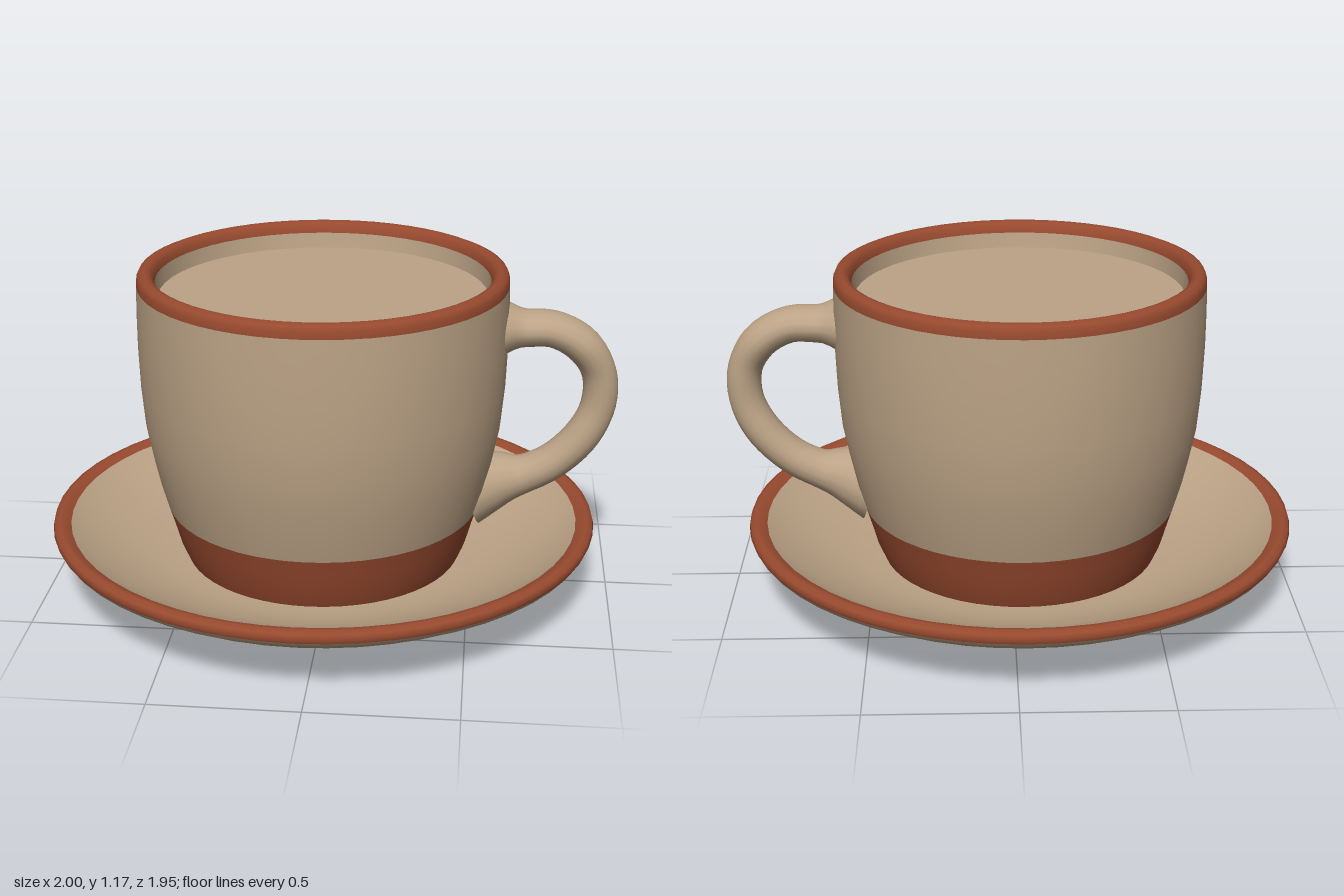
import * as THREE from 'three';

const clay = new THREE.MeshStandardMaterial({ color: 0xbca386 });
clay.name = 'beige clay';
const terracotta = new THREE.MeshStandardMaterial({ color: 0x984a2f });
terracotta.name = 'terracotta glaze';

const CENTRE_X = -0.03; // axis shared by cup and saucer

// Round part turned from [radius, height] points, listed so that the surface faces left of travel
function turned(name, points, material) {
  const profile = points.map(([r, y]) => new THREE.Vector2(r, y));
  const mesh = new THREE.Mesh(new THREE.LatheGeometry(profile, 56), material);
  mesh.name = name;
  return mesh;
}

// Handle: oval sections swept along a curve in the XY plane, flaring where they meet the cup
function handle() {
  // x, y, half thickness in plane, half width in z
  const stations = [
    [0.53, 0.96, 0.12, 0.20], [0.60, 0.965, 0.09, 0.135], [0.67, 0.965, 0.064, 0.09],
    [0.77, 0.963, 0.062, 0.088], [0.87, 0.91, 0.064, 0.085], [0.932, 0.81, 0.06, 0.062],
    [0.935, 0.69, 0.062, 0.058], [0.885, 0.575, 0.064, 0.068], [0.79, 0.475, 0.064, 0.072],
    [0.69, 0.42, 0.068, 0.075], [0.61, 0.40, 0.095, 0.10], [0.50, 0.37, 0.14, 0.16],
  ];
  const path = new THREE.CatmullRomCurve3(stations.map(([x, y]) => new THREE.Vector3(x, y, 0)));
  const size = new THREE.CatmullRomCurve3(stations.map(([, , a, b]) => new THREE.Vector3(a, b, 0)));
  const rings = 48, sides = 16, positions = [], index = [];
  for (let i = 0; i <= rings; i++) {
    const p = path.getPoint(i / rings), s = size.getPoint(i / rings), t = path.getTangent(i / rings);
    for (let j = 0; j < sides; j++) {
      const angle = (j / sides) * Math.PI * 2;
      const across = Math.cos(angle) * s.x;
      positions.push(p.x - t.y * across, p.y + t.x * across, Math.sin(angle) * s.y);
      if (i === rings) continue;
      const a = i * sides + j, b = i * sides + ((j + 1) % sides);
      index.push(a, b, a + sides, b, b + sides, a + sides);
    }
  }
  const geometry = new THREE.BufferGeometry();
  geometry.setAttribute('position', new THREE.Float32BufferAttribute(positions, 3));
  geometry.setIndex(index);
  geometry.computeVertexNormals();
  const mesh = new THREE.Mesh(geometry, clay);
  mesh.name = 'handle';
  return mesh;
}

export function createModel() {
  const model = new THREE.Group();
  model.name = 'cupAndSaucer';

  const saucer = new THREE.Group();
  saucer.name = 'saucer';
  saucer.position.x = CENTRE_X;
  saucer.add(
    turned('saucerRecess', [[0, 0.045], [0.45, 0.045], [0.475, 0.035], [0.49, 0]], clay),
    turned('footBase', [[0.49, 0], [0.585, 0]], clay),
    turned('footWall', [[0.585, 0], [0.595, 0.05], [0.61, 0.075]], clay),
    turned('saucerUnderside', [[0.61, 0.075], [0.7, 0.097], [0.8, 0.122], [0.89, 0.168], [0.955, 0.208], [0.967, 0.225]], clay),
    turned('saucerRim', [[0.967, 0.225], [0.973, 0.24], [0.968, 0.257], [0.95, 0.265], [0.93, 0.262], [0.91, 0.25]], terracotta),
    turned('saucerDish', [[0.91, 0.25], [0.83, 0.2], [0.7, 0.145], [0.58, 0.115], [0.48, 0.11], [0, 0.11]], clay),
  );

  const cup = new THREE.Group();
  cup.name = 'cup';
  cup.position.x = CENTRE_X;
  cup.scale.z = 1.015;
  cup.add(
    turned('cupFootBand', [[0.49, 0.1], [0.52, 0.17], [0.542, 0.25], [0.56, 0.31]], terracotta),
    turned('cupWall', [[0.56, 0.31], [0.585, 0.4], [0.607, 0.5], [0.628, 0.61], [0.64, 0.75], [0.645, 0.9], [0.645, 1.02], [0.643, 1.118]], clay),
    turned('cupRim', [[0.643, 1.118], [0.642, 1.14], [0.634, 1.158], [0.615, 1.166], [0.597, 1.16], [0.585, 1.145], [0.58, 1.125]], terracotta),
    turned('cupInnerWall', [[0.58, 1.125], [0.575, 1.09], [0.57, 1.06]], clay),
  );
  // Flat fill just below the rim
  const fill = new THREE.Mesh(new THREE.CircleGeometry(0.575, 56), clay);
  fill.name = 'drinkSurface';
  fill.rotation.x = -Math.PI / 2;
  fill.position.y = 1.07;
  cup.add(fill);

  model.add(saucer, cup, handle());
  return model;
}
